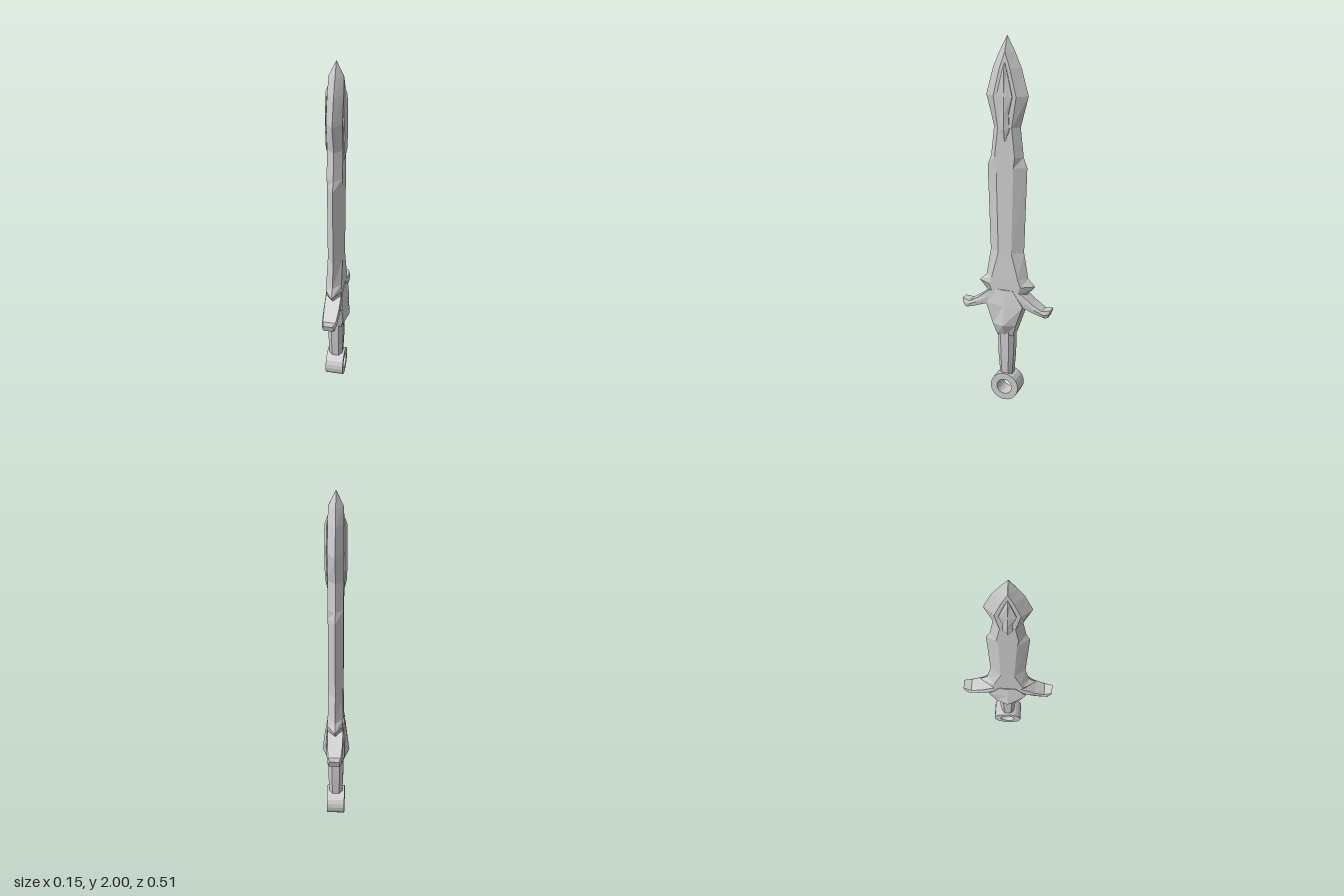
import * as THREE from 'three';

const metal = new THREE.MeshStandardMaterial({ color: 0xcccccc, flatShading: true });

// Skin a list of equal-length rings of [x, y, z] points and close both ends
function loft(rings) {
  const pos = [];
  const tri = (a, b, c) => pos.push(...a, ...b, ...c);
  const n = rings[0].length;
  for (let i = 0; i < rings.length - 1; i++) {
    for (let j = 0; j < n; j++) {
      const k = (j + 1) % n;
      const [a, b, c, d] = [rings[i][j], rings[i][k], rings[i + 1][j], rings[i + 1][k]];
      tri(a, b, d);
      tri(a, d, c);
    }
  }
  const first = rings[0], last = rings[rings.length - 1];
  for (let j = 1; j < n - 1; j++) {
    tri(first[0], first[j + 1], first[j]);
    tri(last[0], last[j], last[j + 1]);
  }
  const g = new THREE.BufferGeometry();
  g.setAttribute('position', new THREE.Float32BufferAttribute(pos, 3));
  g.computeVertexNormals();
  return g;
}

// Hexagon with sharp edges on +z and -z: edge reach w, flat half-width f, half-thickness t
const edgeHex = ([y, w, f, t]) =>
  [[0, y, w], [t, y, f], [t, y, -f], [0, y, -w], [-t, y, -f], [-t, y, f]];

// Hexagon with raised ridges on +x and -x: half-width w, ridge height r, border height t
const ridgeHex = ([y, w, r, t]) =>
  [[t, y, w], [r, y, 0], [t, y, -w], [-t, y, -w], [-r, y, 0], [-t, y, w]];

// Chamfered rectangle for the grip
const octagon = ([y, x, z]) => {
  const a = x * 0.5, b = z * 0.5;
  return [[a, y, z], [x, y, b], [x, y, -b], [a, y, -z],
    [-a, y, -z], [-x, y, -b], [-x, y, b], [-a, y, z]];
};

// Cross-section of a guard arm, from its lower point (z, y) to its upper point (z, y)
const armRing = ([z0, y0, z1, y1, x, xe]) => {
  const zm = (z0 + z1) / 2, ym = (y0 + y1) / 2;
  return [[-xe, y0, z0], [xe, y0, z0], [x, ym, zm],
    [xe, y1, z1], [-xe, y1, z1], [-x, ym, zm]];
};

export function createModel() {
  const model = new THREE.Group();
  model.name = 'sword';
  const add = (name, geometry) => {
    const mesh = new THREE.Mesh(geometry, metal);
    mesh.name = name;
    model.add(mesh);
    return mesh;
  };

  // Blade: waisted leaf point, long body and pointed shoulders
  add('blade', loft([
    [0.63, 0.115, 0.07, 0.042],
    [0.68, 0.16, 0.09, 0.042],
    [0.72, 0.12, 0.075, 0.042],
    [0.865, 0.095, 0.037, 0.04],
    [1.33, 0.11, 0.047, 0.04],
    [1.385, 0.09, 0.055, 0.04],
    [1.54, 0.073, 0.038, 0.04],
    [1.70, 0.115, 0.062, 0.04],
    [1.84, 0.077, 0.028, 0.04],
    [1.92, 0.042, 0.001, 0.037],
    [2.0, 0, 0, 0],
  ].map(edgeHex)));

  // Raised inlay on both faces of the point
  add('bladeInlay', loft([
    [1.46, 0.001, 0.04, 0.038],
    [1.53, 0.026, 0.054, 0.044],
    [1.61, 0.022, 0.057, 0.046],
    [1.70, 0.042, 0.057, 0.046],
    [1.83, 0.012, 0.054, 0.044],
    [1.87, 0.001, 0.04, 0.038],
  ].map(ridgeHex)));

  // Guard block with a ridge down each side
  add('guardBody', loft([
    [0.39, 0.046, 0.043, 0.036],
    [0.455, 0.066, 0.075, 0.05],
    [0.57, 0.105, 0.061, 0.05],
    [0.655, 0.045, 0.048, 0.044],
  ].map(ridgeHex)));

  // Guard arms, sweeping out and down to flared tips
  const arm = loft([
    [0.0, 0.54, 0.0, 0.655, 0.044, 0.042],
    [0.1, 0.565, 0.095, 0.64, 0.045, 0.042],
    [0.17, 0.54, 0.155, 0.592, 0.045, 0.04],
    [0.228, 0.52, 0.21, 0.558, 0.04, 0.034],
    [0.242, 0.524, 0.255, 0.566, 0.03, 0.025],
  ].map(armRing));
  add('leftOfBladeArm', arm).name = 'frontGuardArm';
  add('backGuardArm', arm).rotation.y = Math.PI;

  // Faceted grip
  add('grip', loft([
    [0.145, 0.037, 0.035],
    [0.27, 0.042, 0.044],
    [0.40, 0.044, 0.047],
    [0.455, 0.05, 0.06],
  ].map(octagon)));

  // Ring pommel
  const [inner, outer, half] = [0.043, 0.08, 0.05];
  const profile = [[inner, -half], [outer, -half], [outer, half], [inner, half], [inner, -half]]
    .map(([r, y]) => new THREE.Vector2(r, y));
  const pommel = add('pommelRing', new THREE.LatheGeometry(profile, 20));
  pommel.rotation.z = Math.PI / 2;
  pommel.position.y = 0.08;

  return model;
}
